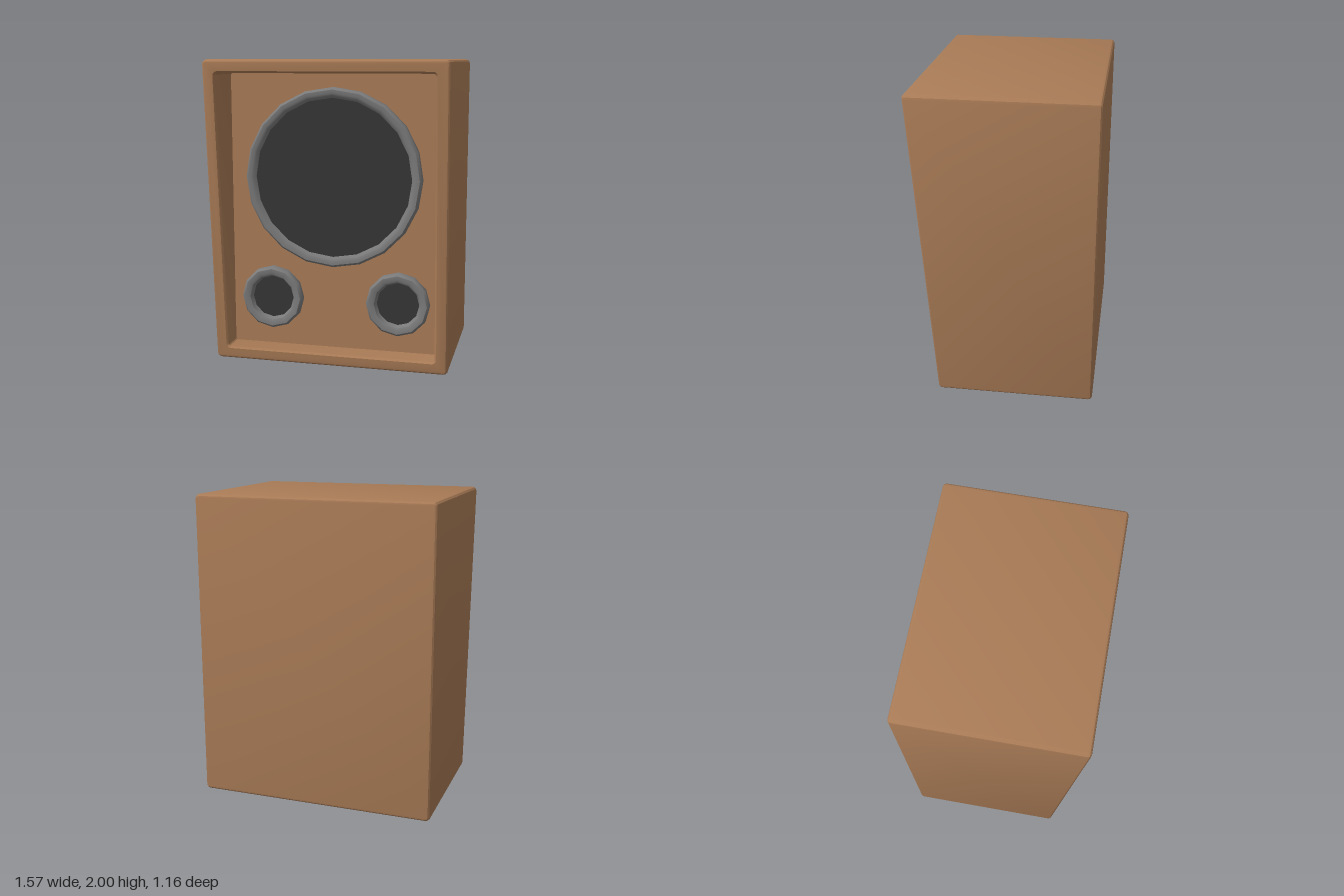
import * as THREE from 'three';
import { toCreasedNormals } from 'three/addons/utils/BufferGeometryUtils.js';

const HALF_W = 0.785, HEIGHT = 2, BACK = -0.577, PANEL = 0.28, BEVEL = 0.025;
const frontZ = y => 0.431 + 0.075 * y; // leaning front plane

// Rounded rectangle, counter-clockwise seen from the front
function section(inset, radius, zAt) {
  const w = HALF_W - inset, y0 = inset, y1 = HEIGHT - inset;
  const corners = [[1, y0 + radius, -90], [1, y1 - radius, 0], [-1, y1 - radius, 90], [-1, y0 + radius, 180]];
  const points = [];
  for (const [side, cy, start] of corners) {
    for (let k = 0; k <= 3; k++) {
      const a = THREE.MathUtils.degToRad(start + k * 30);
      const y = cy + Math.sin(a) * radius;
      points.push([side * (w - radius) + Math.cos(a) * radius, y, zAt(y)]);
    }
  }
  return points;
}

// Skin between sections, closed by a fan at each end
function loft(sections) {
  const n = sections[0].length, pos = [];
  const tri = (...p) => p.forEach(v => pos.push(...v));
  for (let i = 0; i < sections.length - 1; i++) {
    for (let j = 0; j < n; j++) {
      const k = (j + 1) % n, s = sections[i], t = sections[i + 1];
      tri(s[j], s[k], t[k]);
      tri(s[j], t[k], t[j]);
    }
  }
  const first = sections[0], last = sections[sections.length - 1];
  for (let j = 0; j < n; j++) {
    const k = (j + 1) % n;
    tri([0, 1, first[0][2]], first[k], first[j]);
    tri([0, 1, last[0][2]], last[j], last[k]);
  }
  const g = new THREE.BufferGeometry();
  g.setAttribute('position', new THREE.Float32BufferAttribute(pos, 3));
  return toCreasedNormals(g, 0.4);
}

function cabinetGeometry() {
  const sections = [];
  const bevelStep = k => {
    const a = k * Math.PI / 6;
    return { inset: BEVEL * (1 - Math.sin(a)), drop: BEVEL * (1 - Math.cos(a)) };
  };
  // rounded back edge
  for (let k = 0; k <= 3; k++) {
    const { inset, drop } = bevelStep(k);
    sections.push(section(inset, 0.03 - inset, () => BACK + drop));
  }
  // rounded front edge
  for (let k = 3; k >= 0; k--) {
    const { inset, drop } = bevelStep(k);
    sections.push(section(inset, 0.03 - inset, y => frontZ(y) - drop));
  }
  // lip, recess walls and upright baffle panel
  sections.push(section(0.073, 0.03, frontZ));
  sections.push(section(0.085, 0.02, y => frontZ(y) - 0.012));
  sections.push(section(0.085, 0.02, () => PANEL));
  return loft(sections);
}

export function createModel() {
  const wood = new THREE.MeshStandardMaterial({ name: 'wood', color: 0xa97b56 });
  const rimGrey = new THREE.MeshStandardMaterial({ name: 'rimGrey', color: 0x7a7a7a });
  const coneGrey = new THREE.MeshStandardMaterial({ name: 'coneGrey', color: 0x363636 });

  const model = new THREE.Group();
  model.name = 'speakerCabinet';
  const add = (parent, name, geometry, material) => {
    const mesh = new THREE.Mesh(geometry, material);
    mesh.name = name;
    parent.add(mesh);
    return mesh;
  };

  add(model, 'cabinet', cabinetGeometry(), wood);

  // Driver: raised faceted rim around a flat dark cone
  function addDriver(name, x, y, outer, inner, sides, coneDepth) {
    const driver = new THREE.Group();
    driver.name = name;
    driver.position.set(x, y, PANEL);
    const profile = [
      [outer, -0.005], [outer, 0.035], [outer - 0.015, 0.052],
      [inner + 0.03, 0.052], [inner + 0.014, 0.045], [inner - 0.003, coneDepth - 0.005],
    ].map(p => new THREE.Vector2(...p));
    const rim = new THREE.LatheGeometry(profile, sides).rotateX(Math.PI / 2);
    add(driver, name + 'Rim', toCreasedNormals(rim, 0.6), rimGrey);
    const cone = new THREE.CircleGeometry(inner, sides, Math.PI / 2);
    add(driver, name + 'Cone', cone, coneGrey).position.z = coneDepth;
    model.add(driver);
  }

  addDriver('woofer', 0, 1.235, 0.59, 0.522, 20, 0.03);
  addDriver('rightTweeter', -0.42, 0.415, 0.212, 0.142, 12, 0.015);
  addDriver('leftTweeter', 0.435, 0.415, 0.212, 0.142, 12, 0.015);

  return model;
}
